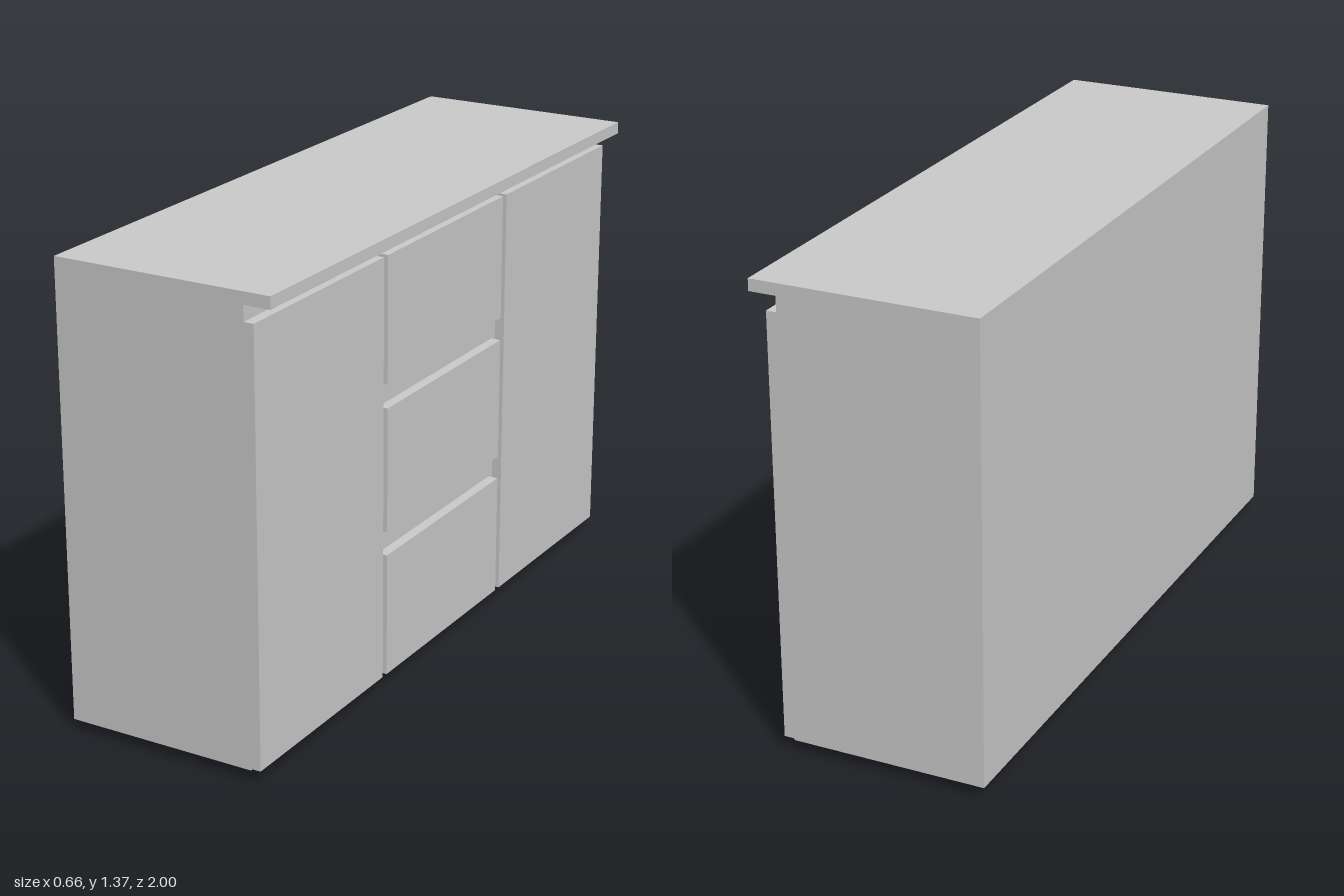
import * as THREE from 'three';

const material = new THREE.MeshStandardMaterial({ color: 0xcccccc, flatShading: true });

// Box given by its min and max corners
function box(name, [x0, y0, z0], [x1, y1, z1]) {
  const geometry = new THREE.BoxGeometry(x1 - x0, y1 - y0, z1 - z0);
  geometry.translate((x0 + x1) / 2, (y0 + y1) / 2, (z0 + z1) / 2);
  const mesh = new THREE.Mesh(geometry, material);
  mesh.name = name;
  return mesh;
}

export function createModel() {
  const group = new THREE.Group();
  group.name = 'sideboard';

  const back = -0.33, carcassFront = 0.25, doorFront = 0.28, topFront = 0.33;
  const base = 0.035, doorBottom = 0.04, doorTop = 1.29, topUnder = 1.335, topY = 1.37;

  // Carcass with overhanging top, one profile swept along the length
  const profile = new THREE.Shape([
    [back, base], [carcassFront, base], [carcassFront, topUnder],
    [topFront, topUnder], [topFront, topY], [back, topY],
  ].map(([x, y]) => new THREE.Vector2(x, y)));
  const carcassGeometry = new THREE.ExtrudeGeometry(profile, { depth: 2, bevelEnabled: false });
  carcassGeometry.translate(0, 0, -1);
  const carcass = new THREE.Mesh(carcassGeometry, material);
  carcass.name = 'carcassAndTop';
  group.add(carcass);

  // Doors at both ends of the long front
  group.add(box('leftDoor', [carcassFront, doorBottom, -1], [doorFront, doorTop, -0.355]));
  group.add(box('rightDoor', [carcassFront, doorBottom, 0.355], [doorFront, doorTop, 1]));

  // Three drawer fronts with finger gaps between them
  const drawerHeight = 0.37, gap = 0.07;
  for (let i = 0; i < 3; i++) {
    const y = doorBottom + i * (drawerHeight + gap);
    group.add(box(`drawerFront${i + 1}`, [carcassFront, y, -0.333], [doorFront, y + drawerHeight, 0.333]));
  }

  // Four block feet
  for (const x of [-0.257, 0.09]) {
    for (const z of [-0.925, 0.86]) {
      group.add(box('foot', [x, 0, z], [x + 0.083, base, z + 0.083]));
    }
  }

  return group;
}
